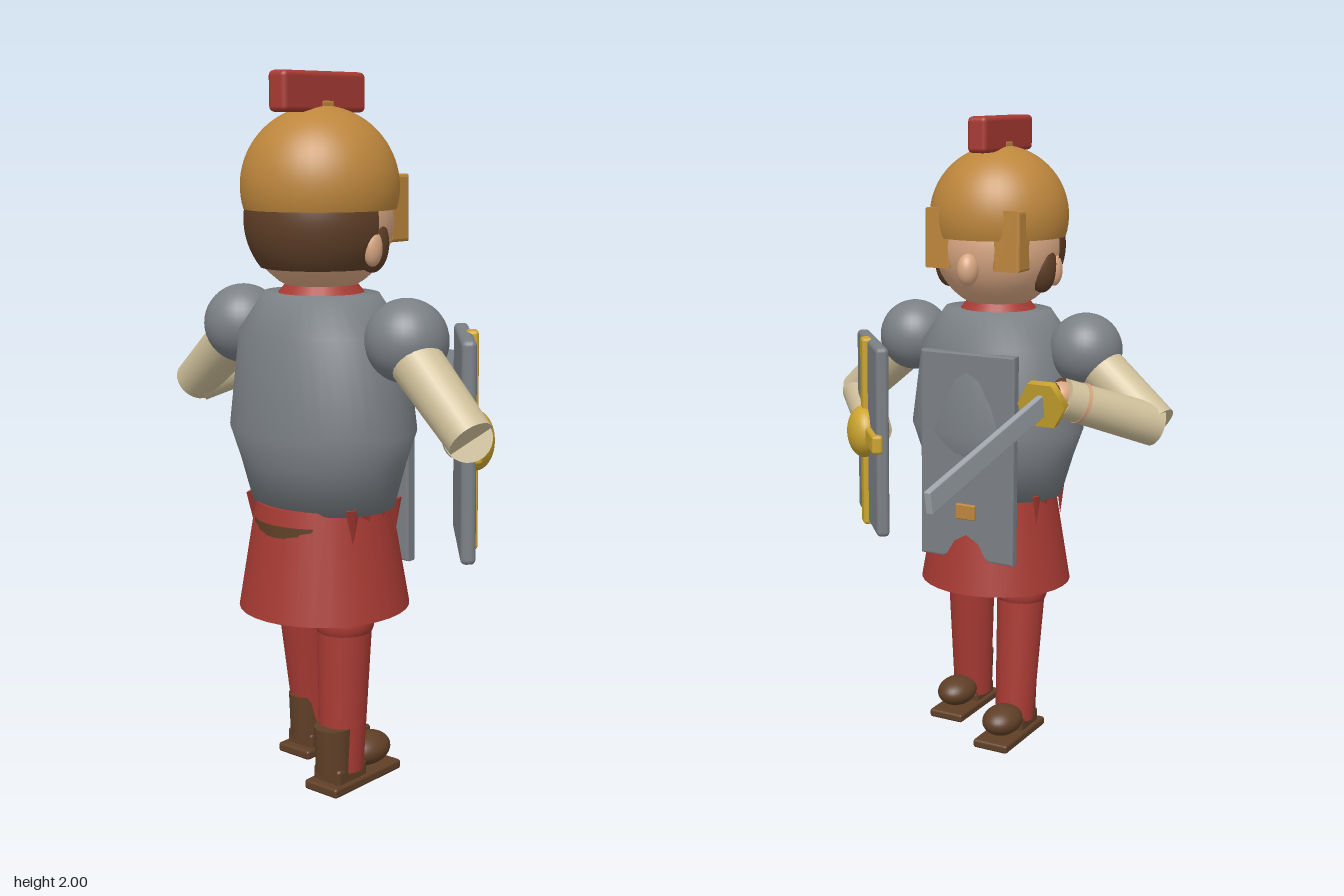
import * as THREE from 'three';
import { RoundedBoxGeometry } from 'three/addons/geometries/RoundedBoxGeometry.js';

const V = (x, y, z) => new THREE.Vector3(x, y, z);
const CX = -0.42; // body axis

export function createModel() {
  const root = new THREE.Group();
  root.name = 'soldier';
  const material = (name, color, side = THREE.FrontSide) => {
    const m = new THREE.MeshStandardMaterial({ color, side });
    m.name = name;
    return m;
  };
  const red = material('red cloth', 0xa83a33);
  const steel = material('steel armour', 0x7b8085);
  const bladeSteel = material('blade steel', 0x9fa5ab);
  const bronze = material('bronze', 0xbd863c, THREE.DoubleSide);
  const gold = material('gold', 0xcca52f);
  const brown = material('dark brown', 0x5f3f27, THREE.DoubleSide);
  const linen = material('linen sleeve', 0xcfc09a);
  const skin = material('skin', 0xd9a783);

  // Helpers
  const add = (name, geo, mat, p = [0, 0, 0], parent = root) => {
    const mesh = new THREE.Mesh(geo, mat);
    mesh.name = name;
    mesh.position.set(...p);
    parent.add(mesh);
    return mesh;
  };
  const ball = (name, mat, p, r, parent) => {
    const mesh = add(name, new THREE.SphereGeometry(1, 32, 20), mat, p, parent);
    mesh.scale.set(...r);
    return mesh;
  };
  const block = (name, mat, p, s, r = 0.01, parent = root) =>
    add(name, new RoundedBoxGeometry(...s, 2, r), mat, p, parent);
  const limb = (name, mat, a, b, ra, rb, sides = 24) => {
    const d = b.clone().sub(a);
    const mesh = add(name, new THREE.CylinderGeometry(rb, ra, d.length(), sides), mat);
    mesh.position.copy(a).addScaledVector(d, 0.5);
    mesh.quaternion.setFromUnitVectors(V(0, 1, 0), d.normalize());
    return mesh;
  };

  // Head, hair, nose and ears
  ball('head', skin, [CX, 1.6, 0], [0.205, 0.205, 0.205]);
  add('hair', new THREE.SphereGeometry(0.212, 32, 12, -Math.PI / 2, Math.PI, 1.2, 1.03), brown, [CX, 1.6, 0]);
  ball('nose', skin, [-0.212, 1.54, 0], [0.037, 0.05, 0.033]);
  for (const s of [1, -1]) {
    ball('sideburn', brown, [-0.395, 1.54, s * 0.165], [0.05, 0.08, 0.045]);
    ball('ear', skin, [-0.425, 1.53, s * 0.193], [0.03, 0.05, 0.025]);
  }

  // Helmet with cheek guards and crest
  add('helmet', new THREE.SphereGeometry(0.22, 40, 24, 0, Math.PI * 2, 0, 1.85), bronze, [CX, 1.69, 0]);
  const cheek = new THREE.Shape([
    [-0.305, 1.545], [-0.24, 1.545], [-0.24, 1.715], [-0.28, 1.715], [-0.305, 1.67],
  ].map(([x, y]) => new THREE.Vector2(x, y)));
  for (const s of [1, -1]) {
    add('cheekGuard', new THREE.ExtrudeGeometry(cheek, {
      depth: 0.075, bevelEnabled: true, bevelSize: 0.008, bevelThickness: 0.008, bevelSegments: 2,
    }), bronze, [0, 0, s > 0 ? 0.082 : -0.157]);
  }
  block('crestMount', bronze, [CX, 1.9, 0], [0.055, 0.05, 0.07]);
  block('crest', red, [-0.425, 1.945, 0], [0.33, 0.11, 0.066], 0.015);

  // Torso with collar and shoulder caps
  const torso = add('torso', new THREE.LatheGeometry([
    [0, 0.8], [0.175, 0.8], [0.205, 0.93], [0.23, 1.02], [0.203, 1.29], [0.14, 1.4], [0, 1.4],
  ].map(([x, y]) => new THREE.Vector2(x, y)), 40), steel, [CX, 0, 0]);
  torso.scale.z = 1.26;
  add('collar', new THREE.CylinderGeometry(0.1, 0.125, 0.03, 24), red, [CX, 1.41, 0]);
  for (const s of [1, -1]) ball('shoulderCap', steel, [CX, 1.288, s * 0.308], [0.115, 0.115, 0.115]);

  // Breastplate with notched hem, and buckle
  const plate = new THREE.Shape([
    [-0.16, 0.617], [-0.085, 0.617], [0, 0.655], [0.085, 0.617], [0.16, 0.617], [0.16, 1.275], [-0.16, 1.275],
  ].map(([x, y]) => new THREE.Vector2(x, y)));
  add('breastplate', new THREE.ExtrudeGeometry(plate, {
    depth: 0.022, bevelEnabled: true, bevelSize: 0.006, bevelThickness: 0.006, bevelSegments: 2,
  }), steel, [-0.238, 0, 0]).rotation.y = Math.PI / 2;
  block('buckle', bronze, [-0.212, 0.77, 0], [0.025, 0.05, 0.07], 0.004);

  // Skirt and belt
  add('skirt', new THREE.CylinderGeometry(0.19, 0.242, 0.31, 32), red, [CX, 0.657, 0]).scale.z = 1.02;
  add('belt', new THREE.CylinderGeometry(0.202, 0.204, 0.065, 32), brown, [CX, 0.735, 0]).scale.z = 0.96;
  // Red points hanging from the waist over the belt
  for (let i = 0; i < 4; i++) {
    for (const s of [1, -1]) {
      const tab = add('waistPoint', new THREE.ConeGeometry(0.03, 0.1, 4), red,
        [CX - 0.09 + i * 0.06, 0.77, s * 0.19]);
      tab.rotation.x = Math.PI;
      tab.scale.z = 0.4;
    }
  }

  // Legs and shoes: the right leg steps forward
  for (const [s, top, ankle, foot] of [[1, -0.46, -0.485, -0.44], [-1, -0.385, -0.335, -0.29]]) {
    const side = s > 0 ? 'left' : 'right';
    limb(side + 'Leg', red, V(ankle, 0.05, s * 0.118), V(top, 0.47, s * 0.112), 0.063, 0.078);
    ball(side + 'Thigh', red, [top, 0.48, s * 0.112], [0.085, 0.07, 0.085]);
    add(side + 'HeelGuard', new THREE.CylinderGeometry(0.056, 0.052, 0.13, 20), brown, [ankle - 0.035, 0.12, s * 0.12]);
    block(side + 'Heel', brown, [ankle - 0.01, 0.045, s * 0.122], [0.12, 0.05, 0.1]);
    ball(side + 'Toe', brown, [foot + 0.055, 0.078, s * 0.125], [0.08, 0.047, 0.062]);
    block(side + 'Sole', brown, [foot, 0.014, s * 0.123], [0.285, 0.028, 0.122], 0.008);
  }

  // Arms
  limb('leftUpperArm', linen, V(-0.435, 1.27, 0.32), V(-0.48, 1.06, 0.57), 0.075, 0.065);
  limb('leftForearm', linen, V(-0.48, 1.065, 0.56), V(-0.23, 0.99, 0.35), 0.065, 0.055);
  ball('leftHand', skin, [-0.24, 0.99, 0.36], [0.05, 0.05, 0.05]);
  limb('rightUpperArm', linen, V(CX, 1.27, -0.32), V(-0.365, 1.085, -0.575), 0.075, 0.065);
  limb('rightForearm', linen, V(-0.365, 1.085, -0.565), V(-0.13, 1.19, -0.365), 0.065, 0.06);
  limb('rightWristBand', skin, V(-0.18, 1.168, -0.407), V(-0.172, 1.172, -0.4), 0.0635, 0.0635);
  ball('rightHand', skin, [-0.13, 1.195, -0.36], [0.05, 0.045, 0.045]);
  ball('thumb', skin, [-0.085, 1.2, -0.322], [0.023, 0.023, 0.023]);

  // Sword, pointing forward and slightly down
  const sword = new THREE.Group();
  sword.name = 'sword';
  sword.position.set(-0.02, 1.19, -0.354);
  sword.rotation.z = -0.205;
  root.add(sword);
  add('grip', new THREE.CylinderGeometry(0.027, 0.027, 0.15, 16), brown, [-0.07, 0, 0], sword).rotation.z = Math.PI / 2;
  const guard = add('guard', new THREE.CylinderGeometry(0.076, 0.076, 0.03, 6), gold, [0, 0, 0], sword);
  guard.rotation.z = Math.PI / 2;
  guard.geometry.toNonIndexed();
  block('blade', bladeSteel, [0.345, 0, 0], [0.685, 0.066, 0.02], 0.004, sword);

  // Shield with crossed bars and boss
  const shield = new THREE.Group();
  shield.name = 'shield';
  shield.position.set(-0.225, 0.992, 0.355);
  shield.rotation.y = 0.71;
  root.add(shield);
  block('shieldBoard', steel, [0, 0, 0], [0.4, 0.612, 0.042], 0.015, shield);
  block('shieldVerticalBar', gold, [0, 0, 0.02], [0.055, 0.62, 0.035], 0.01, shield);
  block('shieldCrossBar', gold, [0.01, 0, 0.02], [0.41, 0.06, 0.035], 0.01, shield);
  ball('shieldBoss', gold, [0, 0, 0.03], [0.085, 0.085, 0.055], shield);

  return root;
}
